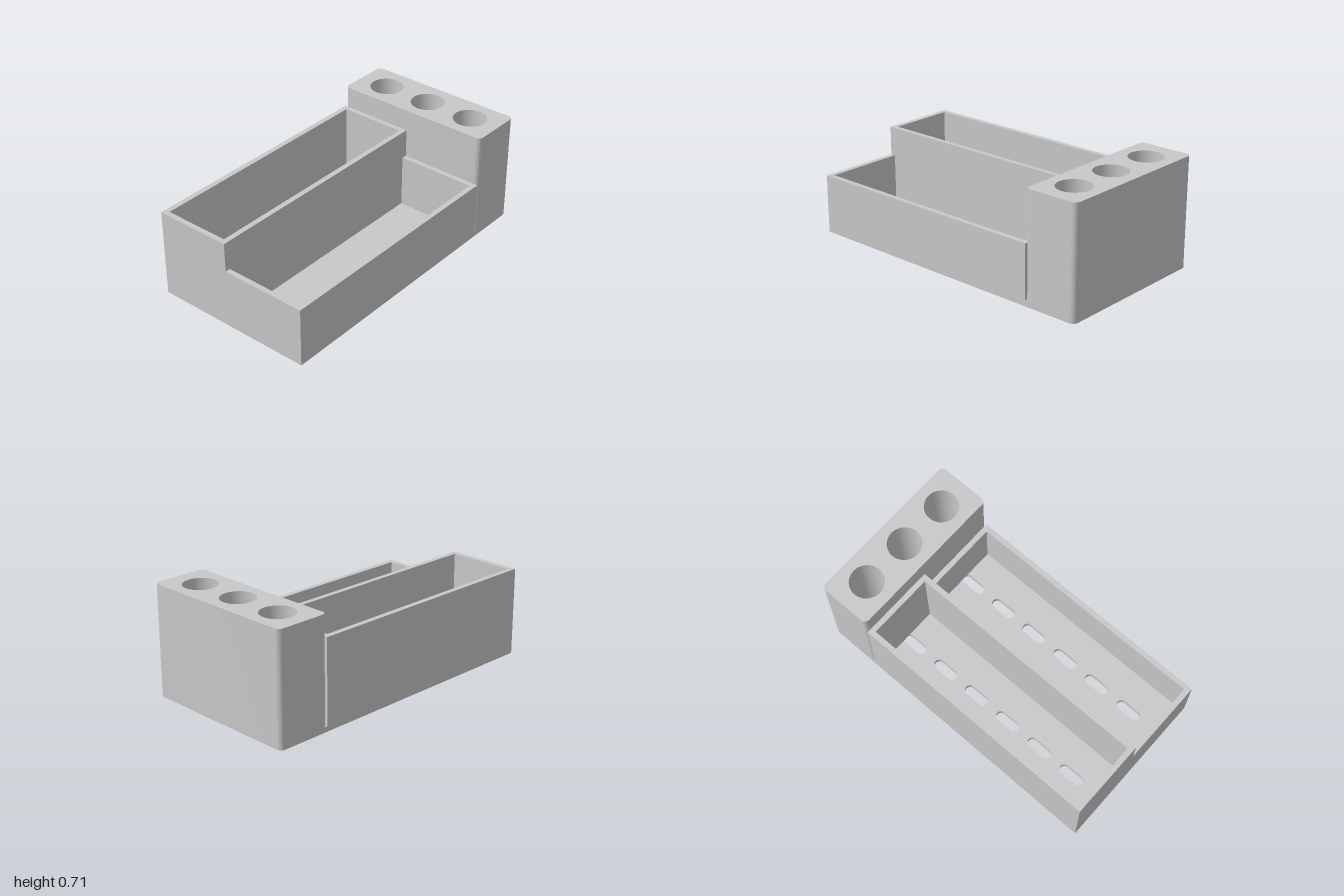
import * as THREE from 'three';
import { toCreasedNormals } from 'three/addons/utils/BufferGeometryUtils.js';

const FLOOR = 0.035, HALF_Z = 0.528, WALL = 0.034, TRAY_END = 0.647, SPLIT = -0.028, R = 0.033;

// Plan outlines use shape y = -z, so extruding goes up after the rotation.
function polygon(points) {
  return new THREE.Shape(points.map(([x, z]) => new THREE.Vector2(x, -z)));
}

// Corners run counter-clockwise as seen from above
function rect(x0, x1, z0, z1) {
  return [[x0, z0], [x0, z1], [x1, z1], [x1, z0]];
}

// Rectangle with rounded right corners and optionally rounded left corners
function roundedPlan(x0, x1, rightR, leftR) {
  const s = new THREE.Shape(), h = HALF_Z;
  s.moveTo(x0 + leftR, -h);
  s.lineTo(x1 - rightR, -h);
  s.absarc(x1 - rightR, -h + rightR, rightR, -Math.PI / 2, 0);
  s.lineTo(x1, h - rightR);
  s.absarc(x1 - rightR, h - rightR, rightR, 0, Math.PI / 2);
  s.lineTo(x0 + leftR, h);
  if (leftR > 0) s.absarc(x0 + leftR, h - leftR, leftR, Math.PI / 2, Math.PI);
  s.lineTo(x0, -h + leftR);
  if (leftR > 0) s.absarc(x0 + leftR, -h + leftR, leftR, Math.PI, Math.PI * 1.5);
  return s;
}

function circleHole(x, z, r) {
  const p = new THREE.Path();
  p.absarc(x, -z, r, 0, Math.PI * 2, true);
  return p;
}

function slotHole(x, z, halfLength, r) {
  const p = new THREE.Path(), d = halfLength - r;
  p.absarc(x + d, -z, r, -Math.PI / 2, Math.PI / 2);
  p.absarc(x - d, -z, r, Math.PI / 2, Math.PI * 1.5);
  p.closePath();
  return p;
}

function extrudeUp(name, shape, y0, y1, material) {
  let geo = new THREE.ExtrudeGeometry(shape, { depth: y1 - y0, bevelEnabled: false, curveSegments: 20 });
  geo.rotateX(-Math.PI / 2);
  geo.translate(0, y0, 0);
  geo = toCreasedNormals(geo, 0.6);
  const mesh = new THREE.Mesh(geo, material);
  mesh.name = name;
  return mesh;
}

export function createModel() {
  const group = new THREE.Group();
  group.name = 'deskOrganizer';
  const grey = new THREE.MeshStandardMaterial({ color: 0xc8c8c8 });
  grey.name = 'grey plastic';

  const cupX = 0.823, cupZ = [-0.328, 0, 0.328];

  // Floor plate with drain slots and cup drain holes
  const floor = roundedPlan(-1, 1, R, 0);
  for (const z of [-0.275, 0.275]) {
    for (let i = 0; i < 6; i++) floor.holes.push(slotHole(-0.752 + i * 0.259, z, 0.085, 0.032));
  }
  for (const z of cupZ) floor.holes.push(circleHole(cupX, z, 0.031));
  group.add(extrudeUp('floor', floor, 0, FLOOR, grey));

  // Tall rear tray: closed frame of walls
  const rear = polygon(rect(-1, TRAY_END, -HALF_Z, SPLIT));
  rear.holes.push(polygon(rect(-1 + WALL, TRAY_END - WALL, -HALF_Z + WALL, SPLIT - WALL)));
  group.add(extrudeUp('rearTrayWalls', rear, FLOOR, 0.567, grey));

  // Low front tray: three walls meeting the rear tray
  const front = polygon([
    [-1, SPLIT], [-1, HALF_Z], [TRAY_END, HALF_Z], [TRAY_END, SPLIT],
    [TRAY_END - WALL, SPLIT], [TRAY_END - WALL, HALF_Z - WALL],
    [-1 + WALL, HALF_Z - WALL], [-1 + WALL, SPLIT],
  ]);
  group.add(extrudeUp('frontTrayWalls', front, FLOOR, 0.38, grey));

  // Rounded block with three round cups
  const block = roundedPlan(TRAY_END, 1, R, R);
  for (const z of cupZ) block.holes.push(circleHole(cupX, z, 0.107));
  group.add(extrudeUp('cupBlock', block, FLOOR, 0.706, grey));

  return group;
}
